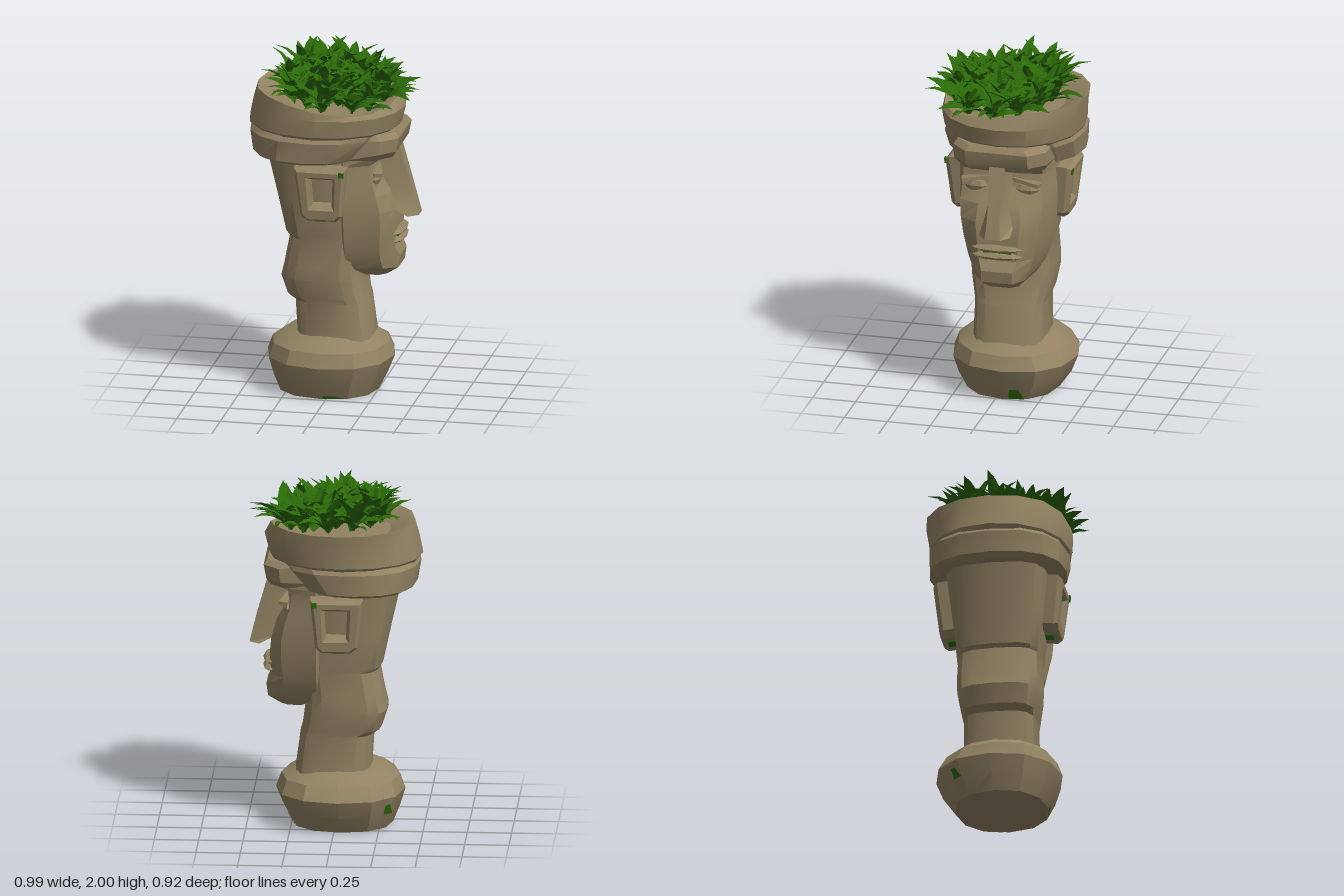
import * as THREE from 'three';
import { mergeGeometries, toCreasedNormals } from 'three/addons/utils/BufferGeometryUtils.js';

const ZC = -0.04; // middle plane of the head

function fromTriangles(pos) {
  const g = new THREE.BufferGeometry();
  g.setAttribute('position', new THREE.Float32BufferAttribute(pos, 3));
  g.computeVertexNormals();
  return g;
}

// Skin between rings of [x, y, z] points (each running from +x towards +z), capped at both ends
function loft(rings, crease = 0.45) {
  const n = rings[0].length, pos = [];
  const mid = (r) => [0, 1, 2].map((k) => r.reduce((s, p) => s + p[k], 0) / n);
  const bottom = rings[0], top = rings[rings.length - 1];
  const cb = mid(bottom), ct = mid(top);
  for (let j = 0; j < n; j++) {
    const k = (j + 1) % n;
    for (let i = 0; i < rings.length - 1; i++) {
      const a = rings[i][j], b = rings[i][k], c = rings[i + 1][j], d = rings[i + 1][k];
      pos.push(...a, ...c, ...b, ...b, ...c, ...d);
    }
    pos.push(...cb, ...bottom[j], ...bottom[k], ...ct, ...top[k], ...top[j]);
  }
  return toCreasedNormals(fromTriangles(pos), crease);
}

// Moss patch lying just outside one face of a loft, covering u0..u1 around and v0..v1 up
function facePatch(rings, i, j, [u0, u1], [v0, v1]) {
  const k = (j + 1) % rings[0].length, mix = THREE.MathUtils.lerp;
  const at = (u, v) => [0, 1, 2].map((c) =>
    mix(mix(rings[i][j][c], rings[i][k][c], u), mix(rings[i + 1][j][c], rings[i + 1][k][c], u), v)
      * (c === 1 ? 1 : 1.015));
  const a = at(u0, v0), b = at(u1, v0), c = at((u0 + u1) / 2, v1), d = at(u1, v1);
  return fromTriangles([...a, ...c, ...b, ...b, ...c, ...d]);
}

// Rounded ring filling x0..x1, z0..z1; a smaller power is squarer, dip lowers the front corner
function oval(y, x0, x1, z0, z1, power, sides, dip = 0) {
  const bend = (v) => Math.sign(v) * Math.abs(v) ** power;
  return Array.from({ length: sides }, (_, i) => {
    const a = (i / sides) * Math.PI * 2;
    return [
      (x0 + x1) / 2 + bend(Math.cos(a)) * (x1 - x0) / 2,
      y - dip * Math.max(0, Math.cos(a - 0.95)) ** 2,
      (z0 + z1) / 2 + bend(Math.sin(a)) * (z1 - z0) / 2,
    ];
  });
}

// Ring symmetric about the head's middle plane from [x, halfWidth] pairs, front to back
function mirrored(y, pairs) {
  const half = pairs.map(([x, w]) => [x, y, ZC + w]);
  const other = pairs.map(([x, w]) => [x, y, ZC - w]).reverse();
  return [...half, ...other];
}

function seeded(seed) {
  return () => {
    seed = (seed * 16807) % 2147483647;
    return seed / 2147483647;
  };
}

// A pointed, folded, slightly drooping leaf of unit length along +x
function leafGeometry() {
  const widths = [0.06, 0.12, 0.14, 0.08, 0];
  const rows = [0, 0.2, 0.45, 0.75, 1].map((t, i) => {
    const w = widths[i], y = 0.2 * Math.sin(t * 2.5);
    return [[t, y + w * 0.4, -w], [t, y, 0], [t, y + w * 0.4, w]];
  });
  const pos = [];
  for (let i = 0; i < 4; i++) {
    for (let j = 0; j < 2; j++) {
      const a = rows[i][j], b = rows[i][j + 1], c = rows[i + 1][j], d = rows[i + 1][j + 1];
      pos.push(...a, ...b, ...c, ...b, ...d, ...c);
    }
  }
  return fromTriangles(pos);
}

export function createModel() {
  const model = new THREE.Group();
  const stone = new THREE.MeshStandardMaterial({ color: 0x938363, side: THREE.DoubleSide });
  stone.name = 'stone';
  const green = new THREE.MeshStandardMaterial({ color: 0x2b6a08, side: THREE.DoubleSide });
  green.name = 'leaf green';

  const add = (name, geometry, material = stone, x = 0, y = 0, z = 0, parent = model) => {
    const m = new THREE.Mesh(geometry, material);
    m.name = name;
    m.position.set(x, y, z);
    parent.add(m);
    return m;
  };

  // Boulder-like foot with moss spots
  const baseRings = [
    [0, -0.32, 0.25, -0.30, 0.23],
    [0.1, -0.36, 0.3, -0.37, 0.28],
    [0.2, -0.39, 0.34, -0.41, 0.31],
    [0.28, -0.36, 0.31, -0.36, 0.28],
    [0.33, -0.29, 0.23, -0.29, 0.22],
    [0.355, -0.18, 0.18, -0.2, 0.16],
  ].map((r) => oval(...r, 0.9, 12));
  add('base', loft(baseRings));
  add('baseMossFront', facePatch(baseRings, 0, 11, [0.15, 0.75], [0, 0.7]), green);
  add('baseMossSide', facePatch(baseRings, 0, 2, [0.1, 0.9], [0, 0.2]), green);
  add('baseMossBack', facePatch(baseRings, 1, 7, [0, 0.4], [0, 0.6]), green);

  // Neck and back of the head
  add('neckAndSkull', loft([
    [0.28, -0.20, 0.235, 0.21],
    [0.54, -0.215, 0.20, 0.205],
    [0.57, -0.26, 0.19, 0.215],
    [0.68, -0.295, 0.175, 0.235],
    [0.76, -0.275, 0.165, 0.24],
    [0.92, -0.245, 0.18, 0.235],
    [0.94, -0.265, 0.18, 0.24],
    [1.15, -0.31, 0.2, 0.265],
    [1.46, -0.38, 0.2, 0.3],
  ].map(([y, x0, x1, h]) => oval(y, x0, x1, ZC - h, ZC + h, 0.6, 16))));

  // Face mask: [y, side half width, cheek x, cheek half width, front x, front half width]
  add('face', loft([
    [0.70, 0.11, 0.27, 0.1, 0.31, 0.06],
    [0.75, 0.17, 0.30, 0.14, 0.38, 0.09],
    [0.82, 0.215, 0.29, 0.17, 0.39, 0.09],
    [0.88, 0.24, 0.29, 0.19, 0.36, 0.11],
    [1.0, 0.27, 0.3, 0.215, 0.37, 0.12],
    [1.1, 0.28, 0.3, 0.23, 0.36, 0.13],
    [1.2, 0.285, 0.28, 0.24, 0.33, 0.12],
    [1.3, 0.29, 0.25, 0.23, 0.27, 0.12],
    [1.38, 0.29, 0.24, 0.23, 0.26, 0.12],
    [1.45, 0.295, 0.3, 0.24, 0.36, 0.15],
  ].map(([y, w, xc, wc, xf, wf]) => {
    const edge = y < 0.72 ? 0.2 : y < 0.8 ? 0.13 : 0.1;
    return mirrored(y, [[xf, wf], [xc, wc], [edge, w], [edge - 0.02, w * 0.85]]);
  }), 0.35));

  // Long wedge nose, undercut at the nostrils
  add('nose', loft([
    [1.05, 0.43, 0.487, 0.09, 0.045],
    [1.1, 0.34, 0.475, 0.09, 0.04],
    [1.2, 0.28, 0.45, 0.075, 0.035],
    [1.46, 0.24, 0.375, 0.05, 0.045],
  ].map(([y, xb, xf, wb, wf]) => mirrored(y, [[xf, wf], [xb, wb]]))));

  // Heavy brow bar, swept back at its ends
  add('brow', loft([
    [1.42, 0.36, 0.16, 0.27, 0.25],
    [1.46, 0.385, 0.18, 0.3, 0.27],
    [1.54, 0.40, 0.18, 0.31, 0.27],
    [1.57, 0.38, 0.16, 0.28, 0.25],
  ].map(([y, xf, wf, xc, wc]) => mirrored(y, [[xf, wf], [xc, wc], [0.1, 0.29]]))));

  // Lips with a mossy gap
  for (const [name, y, r] of [['upperLip', 0.956, 0.022], ['lowerLip', 0.912, 0.022]]) {
    const lip = new THREE.SphereGeometry(1, 8, 4).scale(0.045, r, 0.15);
    add(name, toCreasedNormals(lip, 0.4), stone, 0.367, y, ZC);
  }
  add('mouthMoss', new THREE.BoxGeometry(0.009, 0.03, 0.16), green, 0.374, 0.934, ZC);

  // Ear frame with a square hollow, drawn around its own middle height
  const earY = 1.25;
  const quad = (Type, pts) => {
    const s = new Type();
    s.setFromPoints(pts.map(([x, y]) => new THREE.Vector2(x, y - earY)));
    return s;
  };
  const earShape = quad(THREE.Shape,
    [[-0.12, 1.11], [-0.09, 1.085], [0.06, 1.085], [0.085, 1.11], [0.11, 1.37], [-0.15, 1.37]]);
  earShape.holes.push(quad(THREE.Path, [[-0.1, 1.34], [0.07, 1.34], [0.06, 1.14], [-0.09, 1.14]]));
  const earGeometry = new THREE.ExtrudeGeometry(earShape, {
    depth: 0.07, bevelEnabled: true, bevelSize: 0.018, bevelThickness: 0.025, bevelSegments: 1,
  }).translate(0, 0, -0.035);

  for (const side of [1, -1]) {
    const label = side > 0 ? 'left' : 'right';
    // Ears lean in towards the jaw
    const ear = new THREE.Group();
    ear.name = label + 'Ear';
    ear.position.set(0, earY, ZC + side * 0.295);
    ear.rotation.x = side * 0.11;
    model.add(ear);
    add(label + 'EarFrame', earGeometry, stone, 0, 0, 0, ear);
    add(label + 'EarMossTop', new THREE.BoxGeometry(0.03, 0.03, 0.008), green,
      0.105, 0.115, side * 0.062, ear);
    add(label + 'EarMossBottom', new THREE.BoxGeometry(0.06, 0.009, 0.05), green,
      -0.03, -0.186, 0, ear);
    // Eye and slanted lid
    const eye = new THREE.SphereGeometry(1, 7, 4).scale(0.035, 0.04, 0.075);
    add(label + 'Eye', toCreasedNormals(eye, 0.4), stone, 0.26, 1.29, ZC + side * 0.145);
    const lid = add(label + 'Eyelid', new THREE.BoxGeometry(0.05, 0.022, 0.16), stone,
      0.27, 1.335, ZC + side * 0.15);
    lid.rotation.set(side * 0.12, side * 0.25, 0);
  }

  // Lower and upper bands of the headdress
  add('headbandLower', loft([
    [1.395, -0.42, 0.16, -0.38, 0.30],
    [1.42, -0.46, 0.22, -0.43, 0.35],
    [1.54, -0.48, 0.33, -0.44, 0.36],
    [1.57, -0.46, 0.35, -0.42, 0.34],
  ].map((r) => oval(...r, 0.85, 16))));

  // Bowl with a rim sloping gently inwards
  add('planterBowl', loft([
    [1.54, -0.46, 0.34, -0.41, 0.33, 0],
    [1.58, -0.49, 0.38, -0.44, 0.36, 0],
    [1.68, -0.47, 0.405, -0.45, 0.37, 0],
    [1.775, -0.445, 0.37, -0.465, 0.36, 0.075],
    [1.765, -0.41, 0.34, -0.43, 0.33, 0.075],
    [1.71, -0.31, 0.26, -0.33, 0.25, 0.03],
  ].map(([y, x0, x1, z0, z1, dip]) => oval(y, x0, x1, z0, z1, 0.95, 16, dip))));

  // Rosettes of broad leaves: one in the middle, then two rings out to the rim
  const rand = seeded(77);
  const leaf = leafGeometry();
  const leaves = [];
  for (const [count, radius] of [[1, 0], [6, 0.14], [12, 0.265]]) {
    for (let i = 0; i < count; i++) {
      const a = ((i + 0.3 * rand()) / count) * Math.PI * 2;
      const cx = 0.02 + radius * Math.cos(a), cz = radius * Math.sin(a);
      const lift = 1.72 - 0.1 * radius * Math.cos(a - 0.95);
      const perRosette = 24;
      for (let j = 0; j < perRosette; j++) {
        const pitch = 0.05 + 1.0 * rand();
        const yaw = (j / perRosette) * Math.PI * 4 + rand() * 0.6;
        const size = 0.13 + 0.13 * rand();
        leaves.push(leaf.clone()
          .scale(size, size, size * 1.1)
          .rotateX((rand() - 0.5) * 0.8)
          .rotateZ(pitch)
          .rotateY(yaw)
          .translate(cx, lift + 0.035 * rand(), cz));
      }
    }
  }
  add('leaves', mergeGeometries(leaves), green);

  return model;
}
